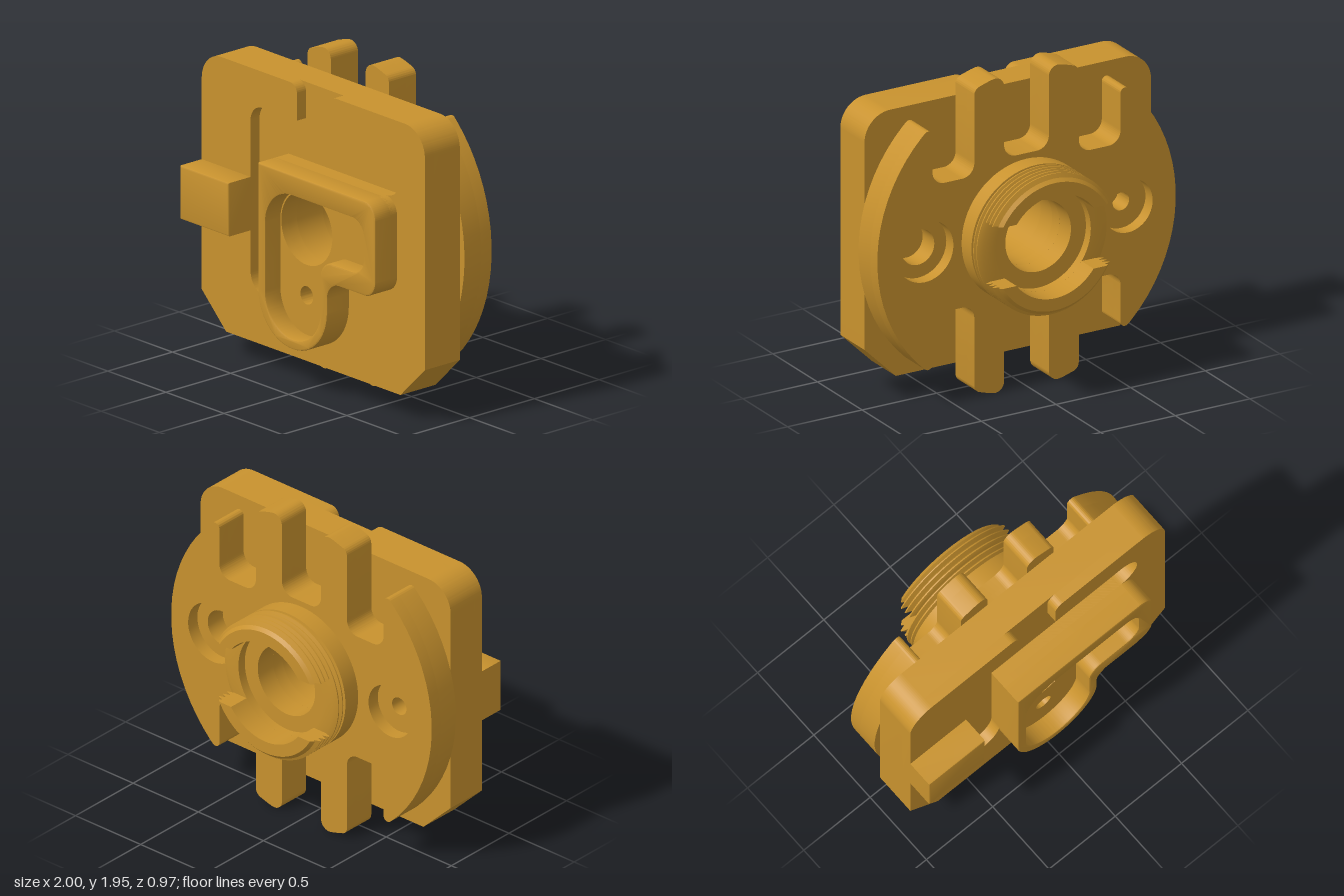
import * as THREE from 'three';
import { toCreasedNormals } from 'three/addons/utils/BufferGeometryUtils.js';

const CY = 0.98; // height of the central axis
const brass = new THREE.MeshStandardMaterial({ color: 0xc8922e });
brass.name = 'brass';

// Closed outline from [x, y, filletRadius] corners, with true arcs
function outline(pts) {
  const s = new THREE.Shape();
  const n = pts.length;
  pts.forEach(([x, y, r = 0], i) => {
    const p = new THREE.Vector2(x, y);
    const [ax, ay] = pts[(i + n - 1) % n], [bx, by] = pts[(i + 1) % n];
    const u = new THREE.Vector2(ax - x, ay - y).normalize();
    const v = new THREE.Vector2(bx - x, by - y).normalize();
    const go = (q) => (i === 0 ? s.moveTo(q.x, q.y) : s.lineTo(q.x, q.y));
    if (!r) return go(p);
    const half = Math.acos(THREE.MathUtils.clamp(u.dot(v), -1, 1)) / 2;
    const d = r / Math.tan(half);
    const a = p.clone().addScaledVector(u, d), b = p.clone().addScaledVector(v, d);
    const c = u.clone().add(v).normalize().multiplyScalar(r / Math.sin(half)).add(p);
    go(a);
    s.absarc(c.x, c.y, r, Math.atan2(a.y - c.y, a.x - c.x), Math.atan2(b.y - c.y, b.x - c.x), u.cross(v) > 0);
  });
  s.closePath();
  return s;
}

function circle(x, y, r) {
  const p = new THREE.Path();
  p.absarc(x, y, r, 0, Math.PI * 2, false);
  return p;
}

function part(name, geo) {
  const m = new THREE.Mesh(toCreasedNormals(geo, 0.5), brass);
  m.name = name;
  return m;
}

// Slab between z0 and z1, optionally with bevelled rims
function slab(name, pts, holes, z0, z1, bevel = 0) {
  const s = outline(pts);
  s.holes.push(...holes);
  const geo = new THREE.ExtrudeGeometry(s, {
    depth: z1 - z0 - 2 * bevel, curveSegments: 24, bevelEnabled: bevel > 0,
    bevelSize: bevel, bevelThickness: bevel, bevelOffset: -bevel, bevelSegments: 2,
  });
  geo.translate(0, 0, z0 + bevel);
  return part(name, geo);
}

// Lathe turned about the z axis; points are [radius, z]
function turned(pts, segments, start = 0, length = Math.PI * 2) {
  const geo = new THREE.LatheGeometry(pts.map(([r, z]) => new THREE.Vector2(r, z)), segments, start, length);
  return geo.rotateX(Math.PI / 2);
}

// Thread ridges from z0 up to z1
function ridges(z0, z1, count) {
  const out = [], p = (z1 - z0) / count;
  for (let i = 0; i < count; i++) out.push([0.4, z0 + p * i], [0.435, z0 + p * (i + 0.4)], [0.435, z0 + p * (i + 0.6)]);
  out.push([0.4, z1]);
  return out;
}

export function createModel() {
  const g = new THREE.Group();
  g.name = 'coupling';
  const bore = () => circle(0, CY, 0.22);
  const pin = () => circle(0, 0.575, 0.055);

  // Front plate: solid layer, then a layer cut by the bent channel
  const sides = [[-0.96, 1.81, 0.17], [-0.96, 0.355], [-0.75, 0.15], [0.75, 0.15], [0.96, 0.355], [0.96, 1.81, 0.17]];
  g.add(slab('plateBack', sides, [bore()], 0.04, 0.24));
  const channel = [
    [0.135, 1.81, 0.06], [0.135, 1.59], [0.75, 1.59, 0.1249], [0.75, 1.335, 0.1249], [-0.29, 1.335],
    [-0.29, 0.45, 0.1249], [-0.54, 0.45, 0.1249], [-0.54, 1.59, 0.1], [-0.14, 1.59], [-0.14, 1.81, 0.06],
  ];
  g.add(slab('plateFront', [...sides, ...channel], [bore(), pin()], 0.24, 0.31));

  // Raised block with pocket
  const block = [
    [-0.29, 1.335], [-0.29, 0.275, 0.297], [0.305, 0.275, 0.297], [0.305, 0.76, 0.105],
    [0.72, 0.76, 0.1], [0.72, 1.335, 0.1],
  ];
  const pocket = outline([
    [-0.228, 1.21, 0.228], [-0.228, 0.335, 0.237], [0.248, 0.335, 0.237], [0.248, 0.88, 0.1],
    [0.62, 0.88, 0.1], [0.62, 1.21, 0.1],
  ]);
  g.add(slab('blockBase', block, [bore(), pin()], 0.24, 0.36));
  g.add(slab('blockRim', block, [pocket], 0.33, 0.48, 0.01));
  const tip = part('pinHoleTip', turned([[0.055, 0.27], [0, 0.241]], 24));
  tip.position.y = 0.575;
  g.add(tip);

  // Side key
  g.add(slab('sideKey', [[-0.96, 0.82], [-0.54, 0.82], [-0.54, 1.145], [-0.96, 1.145]], [], 0.29, 0.48, 0.01));

  // Slotted disc: one quadrant mirrored twice
  const quad = [];
  for (let i = 0; i < 10; i++) {
    const a = ((i + 0.5) / 10.6) * 0.889;
    quad.push([Math.cos(a), Math.sin(a), 0]);
  }
  quad.push([0.63, 0.777, 0.03], [0.63, 0.4, 0.08], [0.35, 0.4, 0.08], [0.35, 0.937, 0.05],
    [0.25, 0.968, 0], [0.15, 0.989, 0.06], [0.15, 0.47, 0.08]);
  const top = [...quad, ...quad.map(([x, y, r]) => [-x, y, r]).reverse()];
  const disc = [...top, ...top.map(([x, y, r]) => [x, -y, r]).reverse()].map(([x, y, r]) => [x, y + CY, r]);
  g.add(slab('discFront', disc, [bore(), circle(0.68, CY, 0.11), circle(-0.68, CY, 0.055)], -0.09, 0.04));
  g.add(slab('discBack', disc, [bore(), circle(0.68, CY, 0.19), circle(-0.68, CY, 0.165)], -0.17, -0.09));

  // Threaded collar with stepped bore
  const collar = new THREE.Group();
  collar.name = 'collar';
  collar.position.y = CY;
  g.add(collar);
  collar.add(part('collarBase', turned([
    [0.32, -0.355], ...ridges(-0.355, -0.285, 2), [0.435, -0.28], [0.435, -0.17],
    [0.22, -0.17], [0.22, -0.3], [0.32, -0.3], [0.32, -0.355],
  ], 72)));

  // Two crown segments, cut parallel at y = +-0.19
  const CUT = 0.19;
  const profile = [[0.32, -0.49], [0.395, -0.49], [0.415, -0.47], ...ridges(-0.46, -0.355, 3), [0.32, -0.355]];
  const arc = turned([...profile, profile[0]], 40, -Math.PI / 2, Math.PI);
  const pos = arc.attributes.position;
  for (let i = 0; i < pos.count; i++) {
    const x = pos.getX(i), y = pos.getY(i), r = Math.hypot(x, y);
    const a = Math.atan2(x, -y) * Math.acos(CUT / r) / (Math.PI / 2);
    pos.setXY(i, r * Math.sin(a), -r * Math.cos(a));
  }
  for (const turn of [0, Math.PI]) {
    const crown = new THREE.Group();
    crown.name = turn ? 'upperCrown' : 'lowerCrown';
    crown.rotation.z = turn;
    crown.add(part('crownThread', arc));
    for (const side of [-1, 1]) {
      const face = new THREE.Shape(profile.map(([r, z]) => new THREE.Vector2(side * Math.sqrt(r * r - CUT * CUT), -z)));
      crown.add(part('crownEnd', new THREE.ShapeGeometry(face).rotateX(-Math.PI / 2).translate(0, -CUT, 0)));
    }
    collar.add(crown);
  }
  return g;
}
